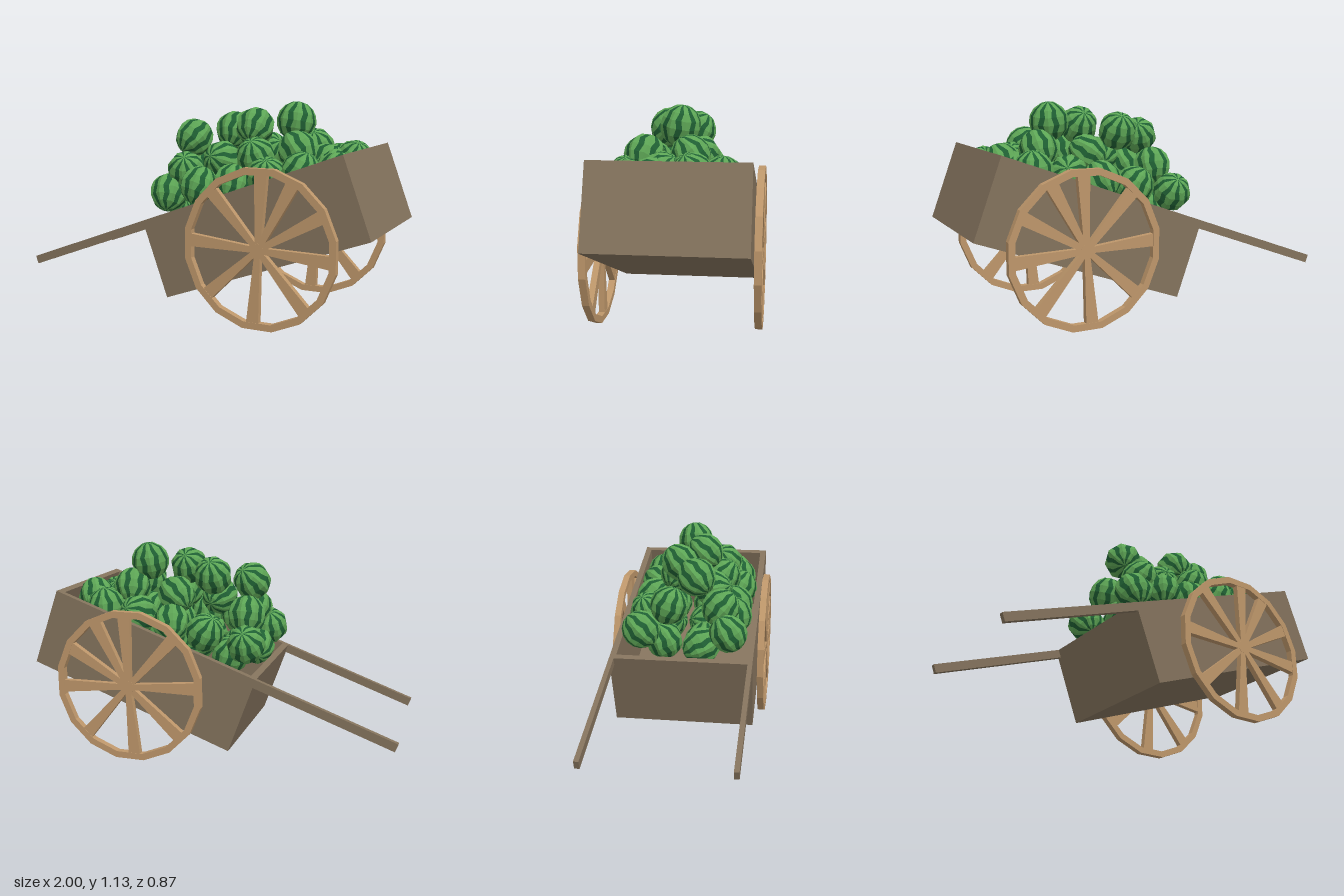
import * as THREE from 'three';

const wood = new THREE.MeshStandardMaterial({ color: 0x83725c });
const wheelWood = new THREE.MeshStandardMaterial({ color: 0xbd966a });
const rindLight = new THREE.MeshStandardMaterial({ color: 0x5da555 });
const rindDark = new THREE.MeshStandardMaterial({ color: 0x1f5f33 });
wood.name = 'cartWood';
wheelWood.name = 'wheelWood';
rindLight.name = 'lightRind';
rindDark.name = 'darkRind';

let seed = 7;
function rand() {
  seed = (seed * 16807) % 2147483647;
  return seed / 2147483647;
}

function addMesh(parent, name, geometry, material, x = 0, y = 0, z = 0) {
  const mesh = new THREE.Mesh(geometry, material);
  mesh.name = name;
  mesh.position.set(x, y, z);
  parent.add(mesh);
  return mesh;
}

// Open box and two shafts, tilted together
function makeBody() {
  const body = new THREE.Group();
  body.name = 'cartBody';
  const L = 1.186, H = 0.433, W = 0.78, t = 0.034;
  addMesh(body, 'floor', new THREE.BoxGeometry(L, t, W), wood, 0, -H / 2 + t / 2, 0);
  for (const s of [-1, 1]) {
    addMesh(body, 'sideWall', new THREE.BoxGeometry(L, H - t, t), wood, 0, t / 2, s * (W - t) / 2);
    addMesh(body, 'endWall', new THREE.BoxGeometry(t, H - t, W - 2 * t), wood, s * (L - t) / 2, t / 2, 0);
    addMesh(body, 'shaft', new THREE.BoxGeometry(0.785, 0.046, 0.026), wood,
      -L / 2 - 0.3925, H / 2 - 0.023, s * (W / 2 - 0.013));
  }
  body.position.set(0.365, 0.497, 0);
  body.rotation.z = THREE.MathUtils.degToRad(20);
  return body;
}

// Polygon outline with a flat side at the bottom
function ringPoints(radius, sides) {
  return Array.from({ length: sides }, (_, i) => {
    const a = ((i + 0.5) / sides) * Math.PI * 2;
    return new THREE.Vector2(Math.cos(a) * radius, Math.sin(a) * radius);
  });
}

// Rim with spokes that widen outwards
function makeWheel() {
  const wheel = new THREE.Group();
  wheel.name = 'wheel';
  const depth = 0.036;
  const rim = new THREE.Shape(ringPoints(0.418, 16));
  rim.holes.push(new THREE.Path(ringPoints(0.382, 16)));
  const extrude = (shape, d) =>
    new THREE.ExtrudeGeometry(shape, { depth: d, bevelEnabled: false }).translate(0, 0, -d / 2);
  addMesh(wheel, 'rim', extrude(rim, depth), wheelWood);
  const spoke = new THREE.Shape([
    new THREE.Vector2(0, -0.014), new THREE.Vector2(0.385, -0.034),
    new THREE.Vector2(0.385, 0.034), new THREE.Vector2(0, 0.014),
  ]);
  const spokeGeometry = extrude(spoke, depth - 0.004);
  for (const angle of [-4, 30, 62, 88, 133, 177, 222, 266, 311]) {
    addMesh(wheel, 'spoke', spokeGeometry, wheelWood).rotation.z = THREE.MathUtils.degToRad(angle);
  }
  addMesh(wheel, 'hub', new THREE.CylinderGeometry(0.035, 0.035, depth - 0.002, 10).rotateX(Math.PI / 2), wheelWood);
  return wheel;
}

// Faceted ball: every sector has a zigzag dark stripe and a light band
function melonGeometry(r) {
  const sectors = 8, rows = 8;
  const positions = [];
  const point = (sector, fraction, row) => {
    const lat = (row / rows) * Math.PI;
    const corner = (s) => {
      const a = (s / sectors) * Math.PI * 2;
      return new THREE.Vector3(Math.cos(a) * Math.sin(lat), Math.cos(lat), Math.sin(a) * Math.sin(lat));
    };
    return corner(sector).lerp(corner(sector + 1), fraction).multiplyScalar(r);
  };
  const edge = (s, side, row) => {
    const zigzag = (row % 2 ? 0.07 : -0.07) * (s % 2 ? 1 : -1);
    return (side ? 0.68 : 0.3) + zigzag;
  };
  const quad = (s, row, f0, f1, g0, g1) => {
    const a = point(s, f0, row), b = point(s, f1, row);
    const c = point(s, g0, row + 1), d = point(s, g1, row + 1);
    if (row > 0) for (const p of [a, b, c]) positions.push(p.x, p.y, p.z);
    if (row < rows - 1) for (const p of [b, d, c]) positions.push(p.x, p.y, p.z);
    else if (row > 0) return;
  };
  const bands = [
    (s, row) => quad(s, row, edge(s, 0, row), edge(s, 1, row), edge(s, 0, row + 1), edge(s, 1, row + 1)),
    (s, row) => {
      quad(s, row, 0, edge(s, 0, row), 0, edge(s, 0, row + 1));
      quad(s, row, edge(s, 1, row), 1, edge(s, 1, row + 1), 1);
    },
  ];
  const geometry = new THREE.BufferGeometry();
  bands.forEach((band, material) => {
    const start = positions.length / 3;
    for (let s = 0; s < sectors; s++) for (let row = 0; row < rows; row++) band(s, row);
    geometry.addGroup(start, positions.length / 3 - start, material);
  });
  geometry.setAttribute('position', new THREE.Float32BufferAttribute(positions, 3));
  geometry.computeVertexNormals();
  return geometry;
}

// Heap of melons, listed as x, y, z
function makeMelons() {
  const heap = new THREE.Group();
  heap.name = 'melons';
  const geometry = melonGeometry(0.106);
  const spots = [
    // top of the heap
    [-0.12, 0.93, 0.07], [0.07, 0.97, -0.05], [0.25, 1.0, 0.07], [0.455, 1.03, -0.01],
    // middle layer
    [-0.13, 0.77, -0.08], [0.09, 0.82, 0.14], [0.27, 0.86, -0.09], [0.3, 0.85, 0.17],
    [0.54, 0.89, -0.07], [0.53, 0.89, 0.16], [0.75, 0.83, -0.1], [0.65, 0.82, 0.06],
    [-0.1, 0.76, 0.2], [0.75, 0.79, 0.2],
    // along both side walls
    [-0.17, 0.64, -0.23], [0.06, 0.69, -0.23], [0.25, 0.73, -0.23], [0.44, 0.77, -0.23], [0.63, 0.8, -0.23],
    [-0.18, 0.64, 0.25], [0.01, 0.69, 0.26], [0.2, 0.71, 0.25], [0.4, 0.76, 0.26], [0.58, 0.79, 0.24],
    [-0.14, 0.55, 0.1],
  ];
  // buried layer
  for (let i = 0; i < 5; i++) {
    for (const z of [-0.12, 0.1]) spots.push([-0.05 + i * 0.19, 0.55 + i * 0.062, z]);
  }
  for (const [x, y, z] of spots) {
    const melon = addMesh(heap, 'melon', geometry, [rindDark, rindLight], x, y, z);
    melon.rotation.set(rand() * 2 - 1, rand() * 6.28, rand() * 2 - 1);
  }
  return heap;
}

export function createModel() {
  const model = new THREE.Group();
  model.name = 'melonCart';
  model.add(makeBody(), makeMelons());
  for (const s of [-1, 1]) {
    const wheel = makeWheel();
    wheel.position.set(0.43, 0.41, s * 0.417);
    model.add(wheel);
  }
  return model;
}
